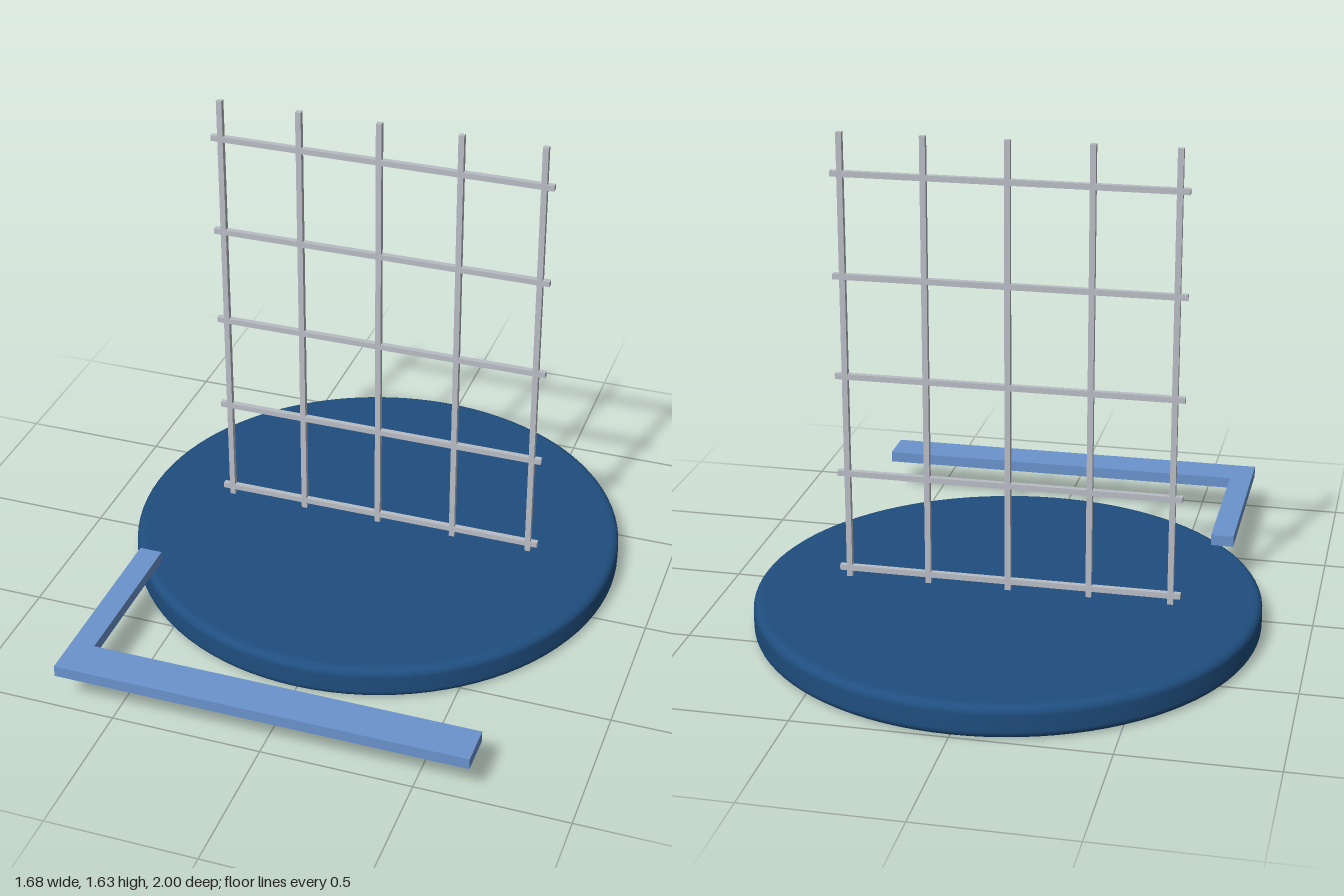
import * as THREE from 'three';

const material = (name, color) => {
  const m = new THREE.MeshStandardMaterial({ color });
  m.name = name;
  return m;
};

export function createModel() {
  const model = new THREE.Group();
  model.name = 'gridOnRoundBase';
  const navy = material('navy blue', 0x1f4e7f);
  const lightBlue = material('light blue', 0x6a93cc);
  const grey = material('steel grey', 0xb8bcc4);
  const centreZ = -0.16;

  const add = (name, geometry, mat, parent = model) => {
    const mesh = new THREE.Mesh(geometry, mat);
    mesh.name = name;
    parent.add(mesh);
    return mesh;
  };

  // Round base with softly rounded rims
  const R = 0.842, H = 0.11, r = 0.028;
  const profile = [new THREE.Vector2(0, 0), new THREE.Vector2(R - r - 0.004, 0)];
  for (const [cy, start] of [[r, -Math.PI / 2], [H - r, 0]]) {
    for (let i = 0; i <= 6; i++) {
      const a = start + (i / 6) * Math.PI / 2;
      profile.push(new THREE.Vector2(R - r + r * Math.cos(a), cy + r * Math.sin(a)));
    }
  }
  profile.push(new THREE.Vector2(R - r - 0.004, H), new THREE.Vector2(0, H));
  add('roundBase', new THREE.LatheGeometry(profile, 96), navy).position.z = centreZ;

  // Upright wire grid of square rods
  const grid = new THREE.Group();
  grid.name = 'wireGrid';
  grid.position.z = centreZ;
  model.add(grid);
  const rod = 0.019, top = 1.635;
  for (let i = -2; i <= 2; i++) {
    add('uprightRod', new THREE.BoxGeometry(rod, top - 0.002, rod), grey, grid)
      .position.set(i * 0.272, top / 2 + 0.001, 0);
    add('crossRod', new THREE.BoxGeometry(1.154, rod, rod), grey, grid)
      .position.set(0, 0.82 + i * 0.34, 0);
  }

  // Flat L-shaped bracket floating in front of the base (drawn in x, -z)
  const outline = [
    [-0.693, -1], [0.677, -1], [0.677, -0.865],
    [-0.615, -0.865], [-0.615, -0.322], [-0.693, -0.322],
  ].map(([x, y]) => new THREE.Vector2(x, y));
  const bracket = new THREE.ExtrudeGeometry(new THREE.Shape(outline), { depth: 0.038, bevelEnabled: false });
  bracket.rotateX(-Math.PI / 2);
  add('cornerBracket', bracket, lightBlue).position.y = 0.12;

  return model;
}
